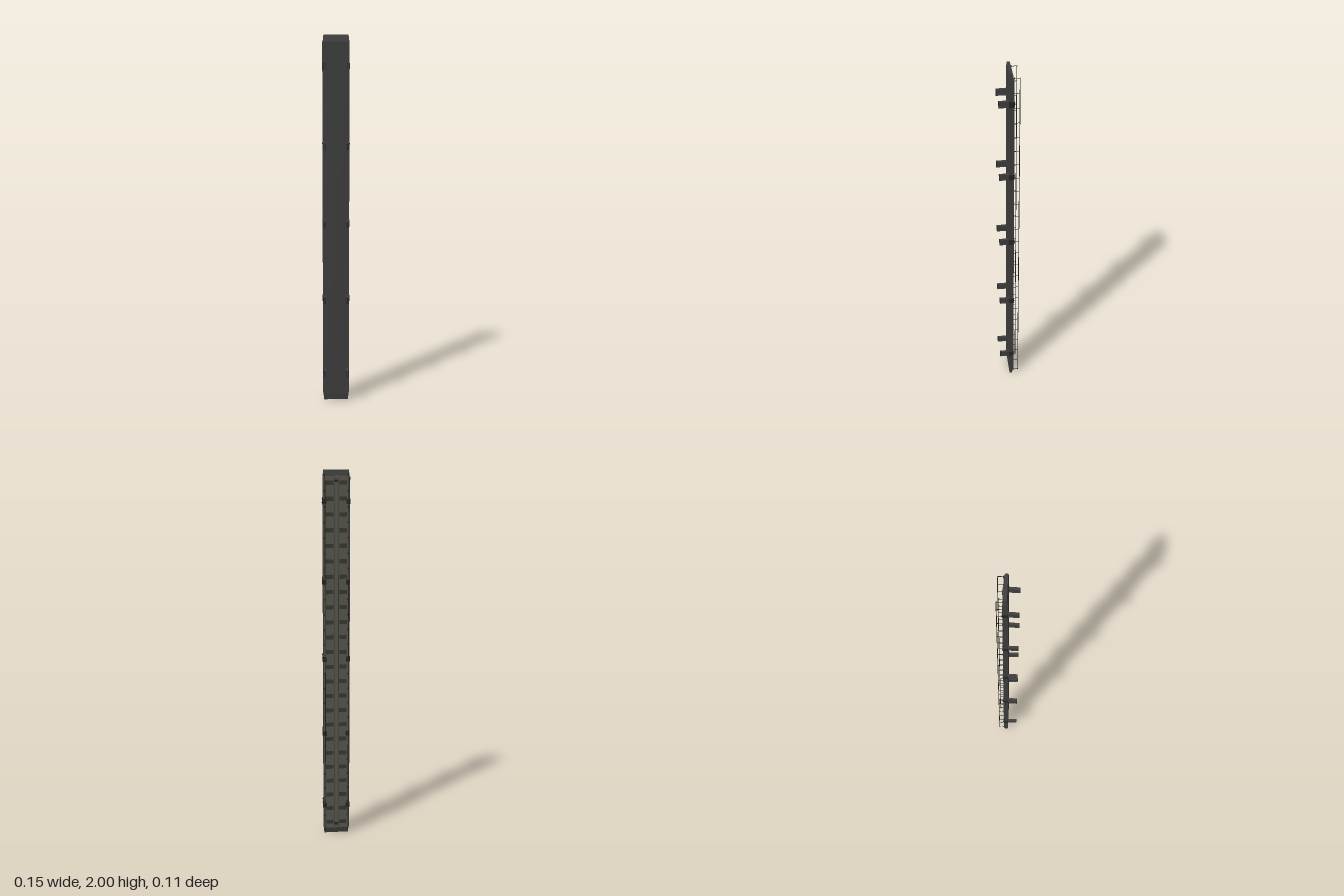
import * as THREE from 'three';

const mat = (name, color) => {
  const m = new THREE.MeshStandardMaterial({ color });
  m.name = name;
  return m;
};

export function createModel() {
  const steel = mat('dark steel', 0x3e3e3e);
  const deckGrey = mat('olive grey deck', 0x57584d);
  const treadGrey = mat('dark tread', 0x363831);
  const black = mat('black metal', 0x262626);
  const root = new THREE.Group();
  root.name = 'walkwaySection';

  const add = (parent, name, geo, material, x = 0, y = 0, z = 0) => {
    const m = new THREE.Mesh(geo, material);
    m.name = name;
    m.position.set(x, y, z);
    parent.add(m);
    return m;
  };
  const box = (parent, name, w, h, d, material, x, y, z) =>
    add(parent, name, new THREE.BoxGeometry(w, h, d), material, x, y, z);

  // Main slab, with its two ends drawn in
  let slab = new THREE.BoxGeometry(0.14, 2, 0.022, 1, 3, 1);
  const p = slab.attributes.position;
  for (let i = 0; i < p.count; i++) {
    const y = p.getY(i);
    if (Math.abs(y) > 0.9) {
      p.setX(i, p.getX(i) * 0.94);
      p.setZ(i, p.getZ(i) * 0.65);
    } else p.setY(i, Math.sign(y) * 0.965);
  }
  slab = slab.toNonIndexed();
  slab.computeVertexNormals();
  add(root, 'slab', slab, steel, 0, 1, -0.011);

  // Walking surface and raised centre strip
  box(root, 'deckPlate', 0.134, 1.94, 0.002, deckGrey, 0, 1, -0.0225);
  box(root, 'centreStrip', 0.02, 1.93, 0.003, deckGrey, 0, 1, -0.0245);
  for (const s of [-1, 1]) {
    box(root, 'stripEdge', 0.003, 1.93, 0.004, treadGrey, s * 0.0115, 1, -0.025);
    box(root, 'edgeLip', 0.005, 1.93, 0.006, steel, s * 0.0695, 1, -0.022);
  }
  for (const y of [0.055, 1.945])
    box(root, 'endFitting', 0.018, 0.014, 0.003, black, 0, y, -0.0265);

  // Treads between the railing posts
  const count = 25, first = 0.025, step = 0.0813;
  for (let i = 0; i < count - 1; i++)
    for (const s of [-1, 1])
      box(root, 'tread', 0.04, 0.022, 0.002, treadGrey, s * 0.036, first + step * (i + 0.5), -0.024);

  for (const s of [-1, 1]) {
    // Railing
    const railing = new THREE.Group();
    railing.name = s > 0 ? 'leftRailing' : 'rightRailing';
    root.add(railing);
    const x = s * 0.062;
    add(railing, 'handrail', new THREE.CylinderGeometry(0.002, 0.002, step * (count - 1) + 0.004, 8), black, x, 1, -0.0525);
    for (let i = 0; i < count; i++) {
      const y = first + step * i;
      const post = add(railing, 'post', new THREE.CylinderGeometry(0.0014, 0.0014, 0.03, 6), black, x, y, -0.0375);
      post.rotation.x = Math.PI / 2;
      box(railing, 'postBase', 0.008, 0.008, 0.003, black, x, y, -0.0245);
    }

    // Support brackets: I-section legs with feet, bolts and deck clamps
    for (const y of [0.165, 0.583, 1.002, 1.42, 1.84]) {
      const support = new THREE.Group();
      support.name = 'support';
      support.position.set(s * 0.062, y, 0);
      root.add(support);
      box(support, 'legWeb', 0.006, 0.034, 0.054, steel, 0, 0, 0.025);
      for (const e of [-1, 1]) {
        box(support, 'legFlange', 0.013, 0.004, 0.052, steel, 0, e * 0.015, 0.025);
        for (const b of [-1, 1])
          box(support, 'footBolt', 0.003, 0.004, 0.003, black, b * 0.006, e * 0.01, 0.0505);
      }
      box(support, 'foot', 0.013, 0.036, 0.003, black, 0, 0, 0.0505);
      box(support, 'sideClamp', 0.003, 0.03, 0.028, black, s * 0.0095, 0, -0.012);
      box(support, 'deckClamp', 0.02, 0.026, 0.004, black, 0, 0, -0.025);
      for (const b of [-1, 1])
        box(support, 'clampBolt', 0.004, 0.005, 0.004, black, b * 0.007, 0, -0.028);
    }
  }
  return root;
}
